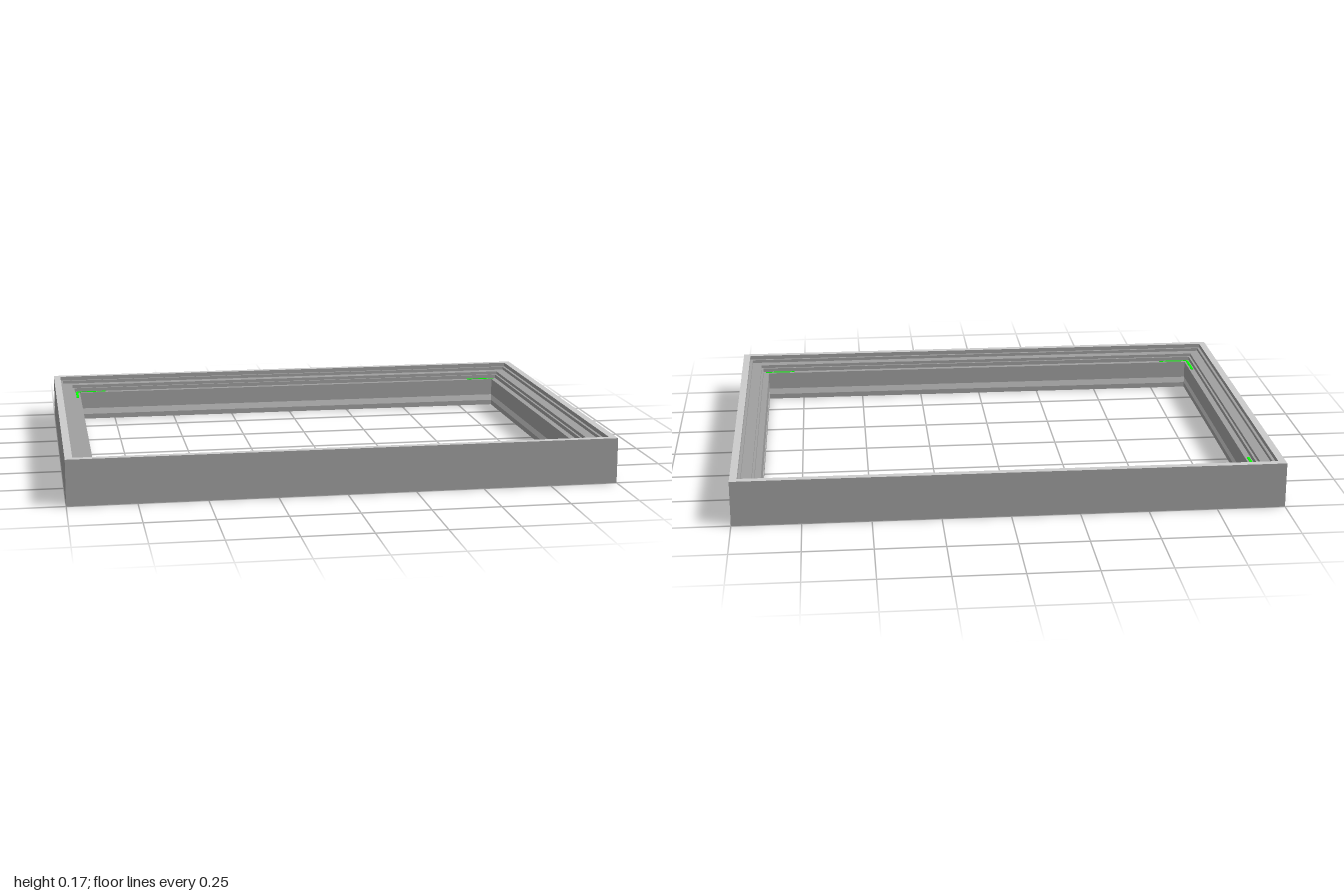
import * as THREE from 'three';

const HALF_X = 1, HALF_Z = 0.75, HEIGHT = 0.168;
const INNER = 0.105;      // inset of the inner wall
const LEDGE_Y = 0.113;    // ledge above the inner wall

// One mitred run of a cross-section path, between two neighbouring corners.
// Path points are [inset from the outer edge, height].
function runGeometry(path, from, to) {
  const at = ([inset, y], [sx, sz]) => [sx * (HALF_X - inset), y, sz * (HALF_Z - inset)];
  const positions = [];
  for (let i = 0; i < path.length - 1; i++) {
    const a = at(path[i], from), b = at(path[i], to);
    const c = at(path[i + 1], to), d = at(path[i + 1], from);
    positions.push(...a, ...b, ...c, ...a, ...c, ...d);
  }
  const geometry = new THREE.BufferGeometry();
  geometry.setAttribute('position', new THREE.Float32BufferAttribute(positions, 3));
  geometry.computeVertexNormals();
  return geometry;
}

export function createModel() {
  const model = new THREE.Group();
  model.name = 'rectangularFrame';
  const dark = new THREE.MeshStandardMaterial({ color: 0xa0a0a0 });
  const light = new THREE.MeshStandardMaterial({ color: 0xcccccc });
  const green = new THREE.MeshStandardMaterial({ color: 0x00ff00 });

  // Cross-section, split by colour
  const parts = [
    // inner foot, grooved underside and outer wall
    ['outerShell', dark, [
      [INNER, 0.02], [INNER, 0], [0.066, 0], [0.066, 0.005], [0.058, 0.005], [0.058, 0],
      [0, 0], [0, HEIGHT],
    ]],
    ['rimCap', light, [[0, HEIGHT], [0.027, HEIGHT]]],
    // square steps down to the ledge, then the inner wall
    ['innerSteps', dark, [
      [0.027, HEIGHT], [0.027, 0.152], [0.037, 0.152], [0.037, 0.14], [0.075, 0.14],
      [0.075, 0.128], [0.083, 0.128], [0.083, LEDGE_Y], [INNER, LEDGE_Y], [INNER, 0.045],
    ]],
    ['innerStrip', light, [[INNER, 0.045], [INNER, 0.02]]],
  ];

  // Four mitred rails
  const corners = [[-1, 1], [1, 1], [1, -1], [-1, -1]];
  const railNames = ['frontRail', 'leftRail', 'backRail', 'rightRail'];
  corners.forEach((corner, i) => {
    const rail = new THREE.Group();
    rail.name = railNames[i];
    for (const [name, material, path] of parts) {
      const mesh = new THREE.Mesh(runGeometry(path, corner, corners[(i + 1) % 4]), material);
      mesh.name = name;
      rail.add(mesh);
    }
    model.add(rail);
  });

  // Thin green corner marks lying on the ledge
  const addMark = (name, width, depth, x, z) => {
    const mark = new THREE.Mesh(new THREE.BoxGeometry(width, 0.002, depth), green);
    mark.position.set(x, LEDGE_Y + 0.001, z);
    mark.name = name;
    model.add(mark);
  };
  const length = 0.12, inset = 0.093;
  for (const [sx, sz] of corners) {
    addMark('widthMark', length, 0.007, sx * (HALF_X - inset - length / 2), sz * (HALF_Z - inset));
    // the depth marks are on one side only
    if (sx < 0) addMark('depthMark', 0.01, length, sx * (HALF_X - inset), sz * (HALF_Z - inset - length / 2));
  }
  return model;
}
